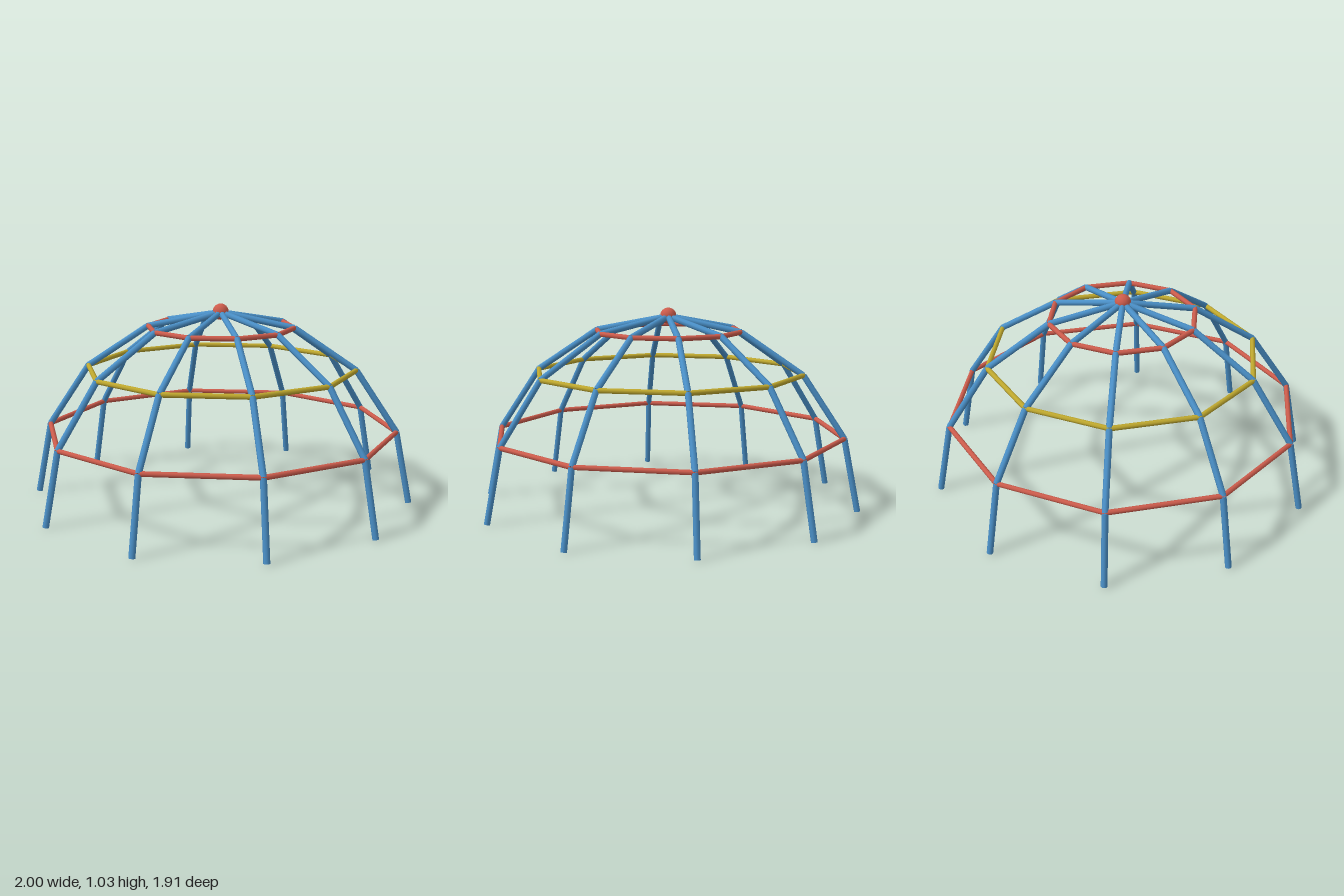
import * as THREE from 'three';

const RADIUS = 0.985;   // dome radius to the pipe axis
const BASE = 0.003;     // lifts the tilted pipe ends onto the ground
const SIDES = 10;
const LEVELS = 4;

const blue = new THREE.MeshStandardMaterial({ color: 0x4a90c8 });
blue.name = 'blue paint';
const red = new THREE.MeshStandardMaterial({ color: 0xcd5c4c });
red.name = 'red paint';
const yellow = new THREE.MeshStandardMaterial({ color: 0xbfa82e });
yellow.name = 'yellow paint';

// Dome joint at a given level (0 = ground, LEVELS = apex) and spoke
function joint(level, spoke) {
  const up = (level / LEVELS) * Math.PI / 2;
  const around = (spoke / SIDES) * Math.PI * 2;
  const r = RADIUS * Math.cos(up);
  return new THREE.Vector3(r * Math.cos(around), BASE + RADIUS * Math.sin(up), r * Math.sin(around));
}

// Straight capped pipe between two points
function pipe(name, a, b, radius, material) {
  const along = b.clone().sub(a);
  const mesh = new THREE.Mesh(new THREE.CylinderGeometry(radius, radius, along.length(), 8), material);
  mesh.position.copy(a).add(b).multiplyScalar(0.5);
  mesh.quaternion.setFromUnitVectors(new THREE.Vector3(0, 1, 0), along.normalize());
  mesh.name = name;
  return mesh;
}

export function createModel() {
  const model = new THREE.Group();
  model.name = 'climbingDome';

  // Bent ribs from the ground to the apex
  for (let s = 0; s < SIDES; s++) {
    const rib = new THREE.Group();
    rib.name = 'rib';
    for (let l = 0; l < LEVELS; l++) {
      rib.add(pipe('ribPipe', joint(l, s), joint(l + 1, s), 0.016, blue));
    }
    model.add(rib);
  }

  // Horizontal ten-sided rings
  [['lowerRing', red], ['middleRing', yellow], ['upperRing', red]].forEach(([name, material], i) => {
    const ring = new THREE.Group();
    ring.name = name;
    for (let s = 0; s < SIDES; s++) {
      ring.add(pipe('ringPipe', joint(i + 1, s), joint(i + 1, s + 1), 0.013, material));
    }
    model.add(ring);
  });

  // Ball joint at the top
  const hub = new THREE.Mesh(new THREE.SphereGeometry(0.042, 12, 8), red);
  hub.name = 'topHub';
  hub.position.y = BASE + RADIUS + 0.003;
  model.add(hub);

  return model;
}
